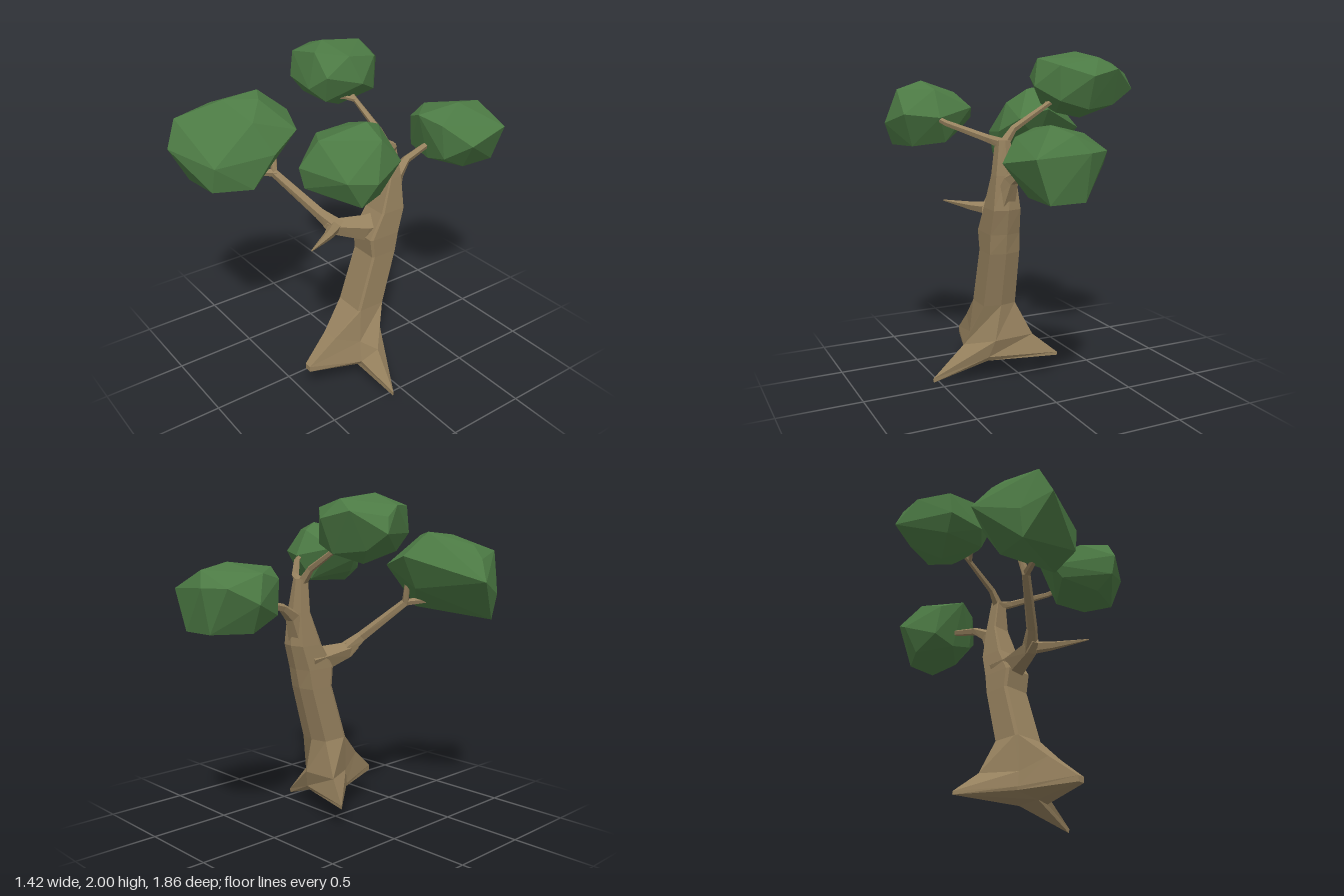
import * as THREE from 'three';
import { ConvexGeometry } from 'three/addons/geometries/ConvexGeometry.js';

const bark = new THREE.MeshStandardMaterial({ color: 0x96815e, flatShading: true });
const leaf = new THREE.MeshStandardMaterial({ color: 0x4c7a44, flatShading: true });
const V = (a) => new THREE.Vector3(...a);

// Skin a list of equal-sized rings and close both ends.
function loft(rings) {
  const n = rings[0].length;
  const pos = [];
  const tri = (...p) => p.forEach((v) => pos.push(v.x, v.y, v.z));
  const mid = (r) => r.reduce((s, p) => s.add(p), new THREE.Vector3()).divideScalar(n);
  for (let j = 0; j < n; j++) {
    const k = (j + 1) % n;
    for (let i = 0; i < rings.length - 1; i++) {
      const a = rings[i], b = rings[i + 1];
      tri(a[j], a[k], b[k]);
      tri(a[j], b[k], b[j]);
    }
    const first = rings[0], last = rings[rings.length - 1];
    tri(mid(first), first[k], first[j]);
    tri(mid(last), last[j], last[k]);
  }
  const g = new THREE.BufferGeometry();
  g.setAttribute('position', new THREE.Float32BufferAttribute(pos, 3));
  g.computeVertexNormals();
  return g;
}

// Tapered limb: each station is [x, y, z, radius].
function limb(stations, sides = 5) {
  const pts = stations.map((s) => V(s.slice(0, 3)));
  const rings = pts.map((c, i) => {
    const t = pts[Math.min(i + 1, pts.length - 1)].clone().sub(pts[Math.max(i - 1, 0)]).normalize();
    const ref = Math.abs(t.y) > 0.9 ? V([1, 0, 0]) : V([0, 1, 0]);
    const u = ref.addScaledVector(t, -ref.dot(t)).normalize();
    const v = t.clone().cross(u);
    return Array.from({ length: sides }, (_, j) => {
      const a = (j / sides) * Math.PI * 2;
      return c.clone().addScaledVector(u, Math.cos(a) * stations[i][3])
        .addScaledVector(v, Math.sin(a) * stations[i][3]);
    });
  });
  return loft(rings);
}

export function createModel() {
  const tree = new THREE.Group();
  tree.name = 'tree';
  const add = (name, geometry, material) => {
    const m = new THREE.Mesh(geometry, material);
    m.name = name;
    tree.add(m);
  };

  // Trunk, top to bottom: boxy, flaring into three roots
  const section = [[1, -0.75], [1, 0.85], [0.9, 1], [-0.9, 1], [-1, 0.8], [-1, -0.75], [0, -1]];
  const ring = (x, y, z, rx, rz) => section.map(([u, w]) => V([x + u * rx, y, z + w * rz]));
  const roots = [
    [[0.345, 0.23, 0.06], [0.27, 0.28, 0.14], [0.225, 0.34, 0.3], [0.12, 0.34, 0.3], [0.05, 0.27, 0.14], [-0.06, 0.28, -0.075], [0.19, 0.27, -0.075]],
    [[0.54, 0.03, 0.085], [0.3, 0.15, 0.15], [0.21, 0.2, 0.475], [0.165, 0.2, 0.475], [0.04, 0.18, 0.14], [-0.2, 0.16, -0.14], [0.22, 0.16, -0.04]],
    [[0.535, 0.005, 0.085], [0.28, 0.12, 0.145], [0.21, 0.165, 0.475], [0.165, 0.165, 0.475], [0.04, 0.16, 0.13], [-0.2, 0.14, -0.14], [0.22, 0.13, -0.02]],
  ].map((r) => r.map(V));
  add('trunk', loft([
    ring(0.165, 1.5, -0.135, 0.035, 0.035),
    ring(0.167, 1.3, -0.15, 0.062, 0.045),
    ring(0.165, 1.1, -0.125, 0.085, 0.09),
    ring(0.16, 0.95, -0.065, 0.094, 0.115),
    ring(0.155, 0.83, -0.062, 0.096, 0.095),
    ring(0.148, 0.49, 0.035, 0.104, 0.102),
    ...roots,
  ]), bark);

  // Branches
  const branches = {
    upperRightBranch: [[0.17, 1.46, -0.13, 0.035], [0.09, 1.56, -0.12, 0.022], [-0.13, 1.69, -0.11, 0.016], [-0.22, 1.74, -0.11, 0.014]],
    upperRightTwig: [[-0.12, 1.685, -0.11, 0.015], [-0.16, 1.7, -0.06, 0.012], [-0.18, 1.705, 0, 0.006]],
    upperLeftBranch: [[0.15, 1.47, -0.13, 0.035], [0.25, 1.51, -0.1, 0.024], [0.43, 1.59, 0.07, 0.018], [0.48, 1.63, 0.16, 0.015]],
    rearBranch: [[0.165, 1.14, -0.145, 0.07], [0.15, 1.28, -0.215, 0.046], [0.125, 1.34, -0.31, 0.026], [0.1, 1.385, -0.5, 0.02], [0.08, 1.4, -0.56, 0.016]],
    frontLimb: [[0.155, 0.98, -0.1, 0.1], [0.145, 0.995, 0.03, 0.08], [0.1, 1.035, 0.2, 0.052], [0.08, 1.065, 0.255, 0.03]],
    frontBranch: [[0.11, 1.03, 0.19, 0.055], [0.04, 1.12, 0.27, 0.035], [-0.18, 1.34, 0.43, 0.027], [-0.21, 1.46, 0.41, 0.018]],
    frontTwig: [[-0.17, 1.34, 0.42, 0.024], [-0.24, 1.35, 0.55, 0.018], [-0.3, 1.355, 0.65, 0.012]],
    brokenBranch: [[0.09, 1.04, 0.18, 0.045], [0.18, 1.045, 0.3, 0.028], [0.295, 1.06, 0.495, 0.004]],
  };
  for (const [name, stations] of Object.entries(branches)) add(name, limb(stations), bark);

  // Faceted leaf clumps, each the hull of a few corner points
  const clumps = {
    topClump: [
      [-0.64, 1.78, -0.235], [-0.61, 1.87, -0.2], [-0.58, 1.93, -0.1], [-0.36, 2, -0.04], [-0.1, 1.96, -0.05],
      [-0.05, 1.8, -0.11], [-0.14, 1.72, -0.26], [-0.14, 1.92, -0.26], [-0.29, 1.86, -0.39], [-0.47, 1.9, -0.35],
      [-0.36, 1.965, -0.31], [-0.25, 1.97, 0.085], [-0.12, 1.85, 0.09], [-0.25, 1.76, 0.13], [-0.48, 1.78, 0.11],
      [-0.48, 1.93, 0.09], [-0.3, 1.67, -0.31], [-0.5, 1.69, -0.25], [-0.35, 1.61, -0.12], [-0.18, 1.69, 0.06],
      [-0.22, 1.64, -0.06], [-0.45, 1.68, 0.04],
    ],
    frontClump: [
      [-0.715, 1.49, 0.53], [-0.63, 1.62, 0.6], [-0.55, 1.7, 0.62], [-0.38, 1.78, 0.4], [-0.28, 1.76, 0.45],
      [-0.18, 1.67, 0.55], [-0.33, 1.64, 0.235], [-0.15, 1.58, 0.285], [-0.09, 1.49, 0.47], [-0.17, 1.46, 0.81],
      [-0.5, 1.5, 0.93], [-0.53, 1.66, 0.86], [-0.58, 1.24, 0.78], [-0.2, 1.31, 0.82], [-0.12, 1.3, 0.6],
      [-0.32, 1.44, 0.36], [-0.61, 1.4, 0.79], [-0.39, 1.76, 0.62],
    ],
    leftClump: [
      [0.17, 1.6, 0.33], [0.225, 1.67, 0.185], [0.31, 1.76, 0.25], [0.31, 1.75, 0.46], [0.505, 1.83, 0.285],
      [0.47, 1.78, 0.555], [0.65, 1.78, 0.3], [0.46, 1.62, 0.09], [0.46, 1.78, 0.175], [0.65, 1.64, 0.175],
      [0.71, 1.58, 0.365], [0.65, 1.6, 0.51], [0.42, 1.64, 0.64], [0.42, 1.52, 0.61], [0.235, 1.52, 0.36],
      [0.42, 1.445, 0.49], [0.65, 1.445, 0.42], [0.58, 1.445, 0.25], [0.4, 1.47, 0.165],
    ],
    rearClump: [
      [-0.16, 1.41, -0.7], [-0.085, 1.57, -0.62], [-0.085, 1.5, -0.855], [0.05, 1.5, -0.93], [0.345, 1.48, -0.9],
      [0.15, 1.625, -0.685], [0.12, 1.59, -0.88], [0.385, 1.43, -0.6], [0.25, 1.55, -0.47], [0.105, 1.59, -0.41],
      [-0.04, 1.53, -0.47], [0.26, 1.245, -0.89], [0.05, 1.245, -0.88], [-0.07, 1.245, -0.68], [0.26, 1.25, -0.65],
      [0.1, 1.29, -0.5], [-0.06, 1.33, -0.5], [0.25, 1.33, -0.5],
    ],
  };
  for (const [name, pts] of Object.entries(clumps)) add(name, new ConvexGeometry(pts.map(V)), leaf);

  return tree;
}
